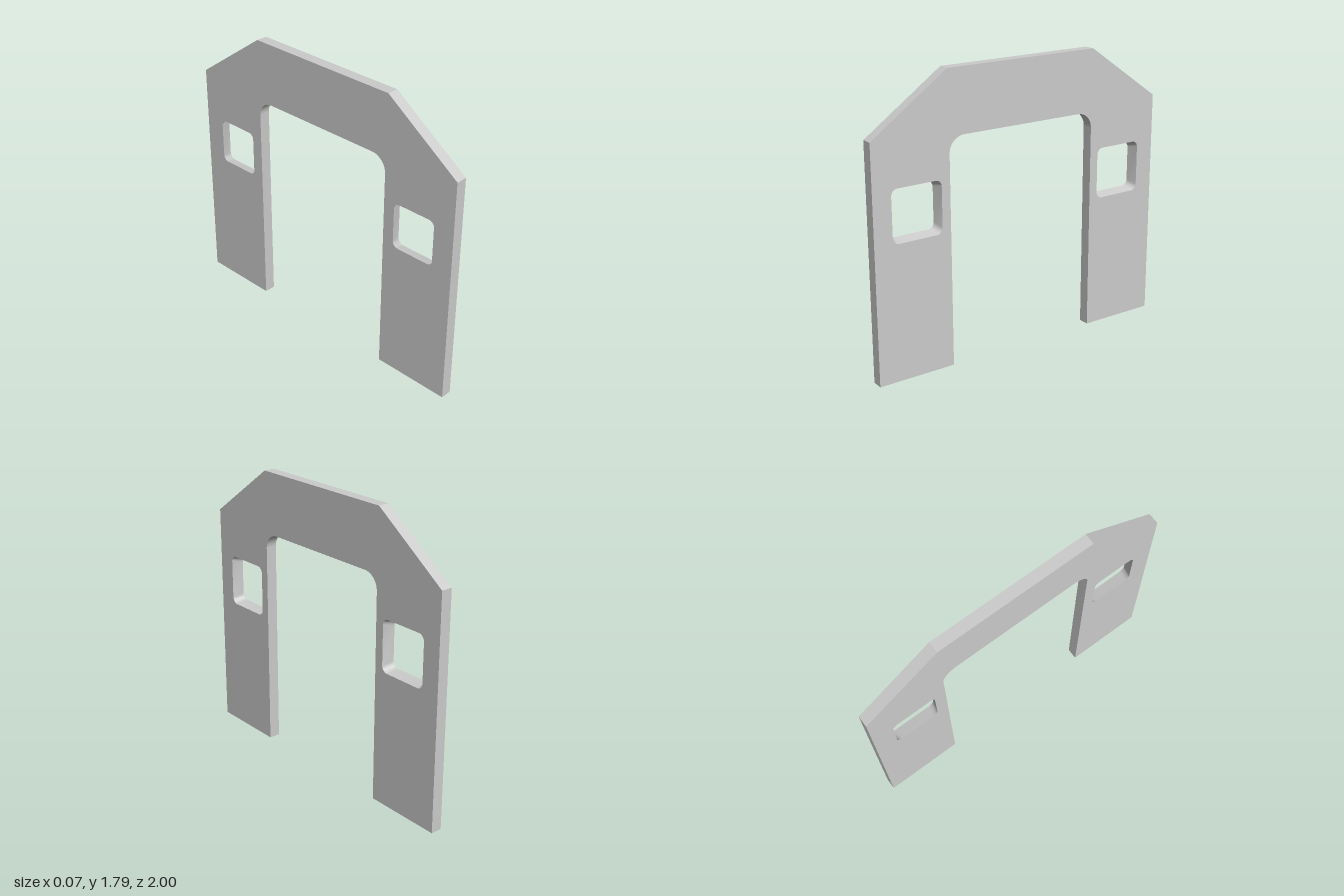
import * as THREE from 'three';
import { toCreasedNormals } from 'three/addons/utils/BufferGeometryUtils.js';

const THICK = 0.07;
const ARCH = { half: 0.505, top: 1.4, r: 0.1 };
const WIN = { z: 0.722, y: 1.0, half: 0.161, r: 0.04, taper: 0.89 };

// Rounded square opening centred on (cx, cy)
function windowPath(cx, cy, h, r) {
  const p = new THREE.Path();
  p.absarc(cx + h - r, cy + h - r, r, 0, Math.PI / 2, false);
  p.absarc(cx - h + r, cy + h - r, r, Math.PI / 2, Math.PI, false);
  p.absarc(cx - h + r, cy - h + r, r, Math.PI, Math.PI * 1.5, false);
  p.absarc(cx + h - r, cy - h + r, r, Math.PI * 1.5, Math.PI * 2, false);
  p.closePath();
  return p;
}

// Gate outline: two legs, sloped shoulders, flat top and a round-cornered doorway
function archShape() {
  const { half, top, r } = ARCH;
  const s = new THREE.Shape();
  s.moveTo(half, 0);
  s.lineTo(1, 0);
  s.lineTo(1, 1.443);
  s.lineTo(0.51, 1.787);
  s.lineTo(-0.51, 1.787);
  s.lineTo(-1, 1.443);
  s.lineTo(-1, 0);
  s.lineTo(-half, 0);
  s.absarc(-half + r, top - r, r, Math.PI, Math.PI / 2, true);
  s.absarc(half - r, top - r, r, Math.PI / 2, 0, true);
  s.closePath();
  for (const side of [1, -1]) s.holes.push(windowPath(side * WIN.z, WIN.y, WIN.half, WIN.r));
  return s;
}

export function createModel() {
  const group = new THREE.Group();
  group.name = 'archPanel';

  let geo = new THREE.ExtrudeGeometry(archShape(), { depth: THICK, bevelEnabled: false, curveSegments: 10 });
  geo.translate(0, 0, -THICK / 2);

  // Taper the window openings so they narrow towards the -x face
  const pos = geo.attributes.position;
  for (let i = 0; i < pos.count; i++) {
    const x = pos.getX(i), y = pos.getY(i);
    const cx = Math.sign(x) * WIN.z;
    const inWindow = Math.abs(x - cx) < WIN.half + 0.01 && Math.abs(y - WIN.y) < WIN.half + 0.01;
    if (inWindow && pos.getZ(i) > 0) {
      pos.setX(i, cx + (x - cx) * WIN.taper);
      pos.setY(i, WIN.y + (y - WIN.y) * WIN.taper);
    }
  }

  geo.rotateY(-Math.PI / 2);
  geo = toCreasedNormals(geo, Math.PI / 6);

  const panel = new THREE.Mesh(geo, new THREE.MeshStandardMaterial({ color: 0xcccccc }));
  panel.name = 'gatePanel';
  group.add(panel);
  return group;
}
